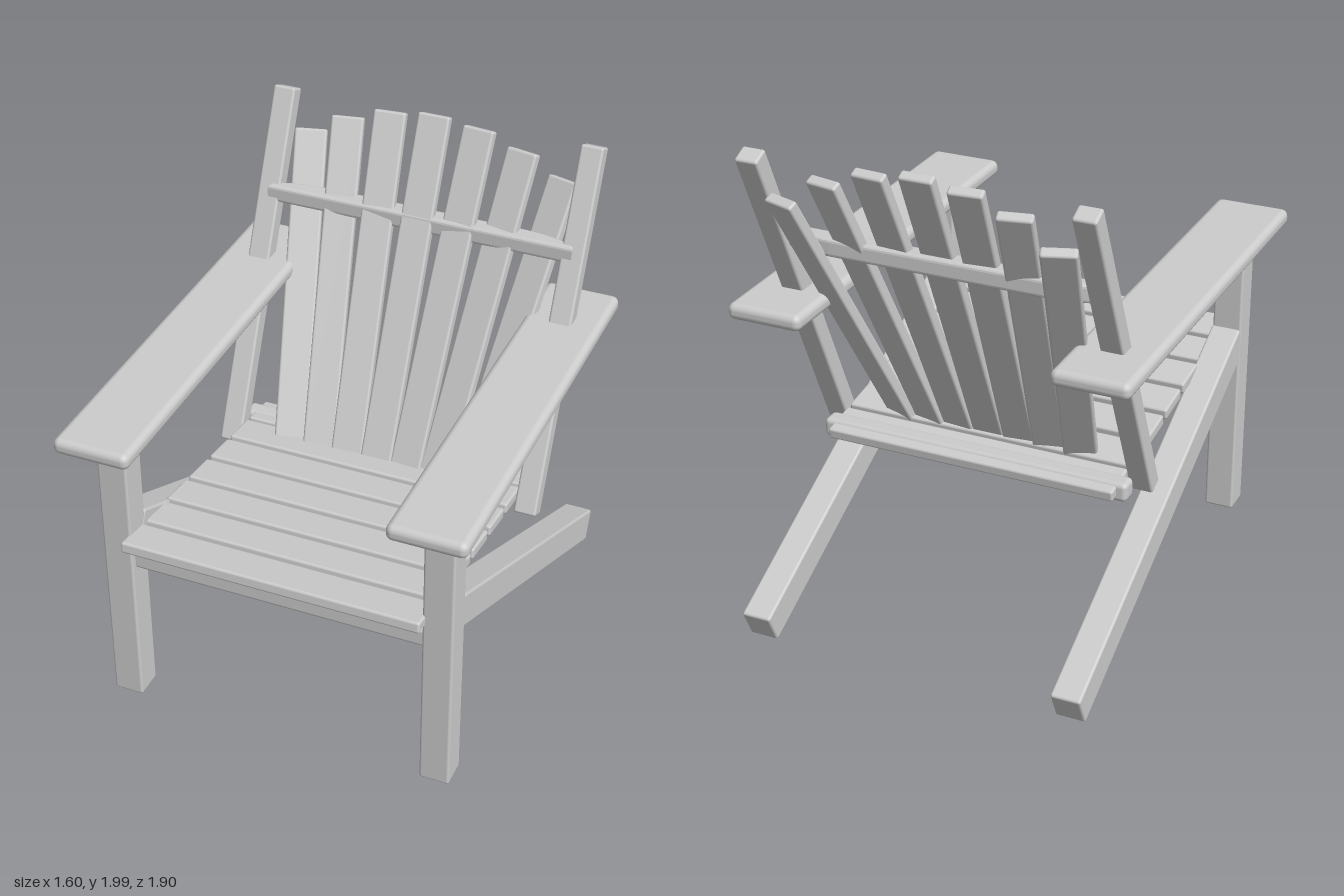
import * as THREE from 'three';
import { RoundedBoxGeometry } from 'three/addons/geometries/RoundedBoxGeometry.js';

export function createModel() {
  const chair = new THREE.Group();
  chair.name = 'slattedGardenChair';
  const wood = new THREE.MeshStandardMaterial({ color: 0xcccccc });
  wood.name = 'pale grey wood';

  const add = (name, geometry) => {
    const mesh = new THREE.Mesh(geometry, wood);
    mesh.name = name;
    chair.add(mesh);
    return mesh;
  };

  // Rounded board centred at a point
  const board = (name, size, position, radius = 0.01) => {
    const mesh = add(name, new RoundedBoxGeometry(...size, 3, radius));
    mesh.position.set(...position);
    return mesh;
  };

  // Rounded board running between two end centres, turned by yaw about its length
  const beam = (name, from, to, width, depth, radius = 0.01, yaw = 0) => {
    const a = new THREE.Vector3(...from);
    const b = new THREE.Vector3(...to);
    const along = b.clone().sub(a);
    const mesh = board(name, [width, along.length(), depth], [0, 0, 0], radius);
    along.normalize();
    const side = new THREE.Vector3(Math.cos(yaw), 0, Math.sin(yaw));
    side.addScaledVector(along, -side.dot(along)).normalize();
    const face = side.clone().cross(along);
    mesh.quaternion.setFromRotationMatrix(new THREE.Matrix4().makeBasis(side, along, face));
    mesh.position.copy(a.add(b).multiplyScalar(0.5));
    return mesh;
  };

  // Legs, back posts and armrests, mirrored
  for (const s of [1, -1]) {
    board('frontLeg', [0.12, 1.24, 0.12], [s * 0.648, 0.685, 0.74]);
    beam('rearLeg', [s * 0.646, 0.066, -0.925], [s * 0.646, 0.846, 0.71], 0.12, 0.136);
    beam('backPost', [s * 0.645, 0.632, -0.2], [s * 0.645, 1.975, -0.81], 0.092, 0.074);
    board('armrest', [0.305, 0.066, 1.735], [s * 0.648, 1.32, 0.083], 0.028);
  }

  // Seat slats, sloping down to the rear
  const slope = 0.139;
  for (let i = 0; i < 7; i++) {
    const z = i < 6 ? 0.78 - i * 0.1875 : -0.337;
    const slat = board('seatSlat', [1.2, 0.046, 0.162], [0, 0.732 + slope * z, z]);
    slat.rotation.x = -Math.atan(slope);
  }

  // Rails under the seat
  board('frontRail', [1.2, 0.08, 0.07], [0, 0.732, 0.74], 0.015);
  board('rearRail', [1.28, 0.078, 0.08], [0, 0.675, -0.34], 0.02);

  // Fanned back slats: bottom x, top x, top y, top z, yaw
  const fan = [
    [0, 0, 1.99, -0.785, 0],
    [0.128, 0.187, 1.968, -0.785, 0.09],
    [0.253, 0.37, 1.908, -0.785, 0.2],
    [0.38, 0.538, 1.813, -0.798, 0.3],
  ];
  for (const [bottomX, topX, topY, topZ, yaw] of fan) {
    for (const s of bottomX ? [1, -1] : [1]) {
      beam('backSlat', [s * bottomX, 0.7, -0.195], [s * topX, topY, topZ], 0.132, 0.044, 0.01, s * yaw);
    }
  }

  // Back rail with a straight front edge and a bowed rear edge
  const bevel = 0.014;
  const outline = new THREE.Shape();
  outline.moveTo(-0.63, 0.606);
  outline.lineTo(0.63, 0.606);
  outline.lineTo(0.63, 0.615);
  outline.quadraticCurveTo(0.55, 0.655, 0.42, 0.658);
  outline.lineTo(-0.42, 0.658);
  outline.quadraticCurveTo(-0.55, 0.655, -0.63, 0.615);
  const rail = add('backRail', new THREE.ExtrudeGeometry(outline, {
    depth: 0.072 - 2 * bevel, bevelThickness: bevel, bevelSize: bevel, bevelSegments: 3, curveSegments: 8,
  }));
  rail.rotation.x = -Math.PI / 2;
  rail.position.y = 1.563 + bevel;

  return chair;
}
